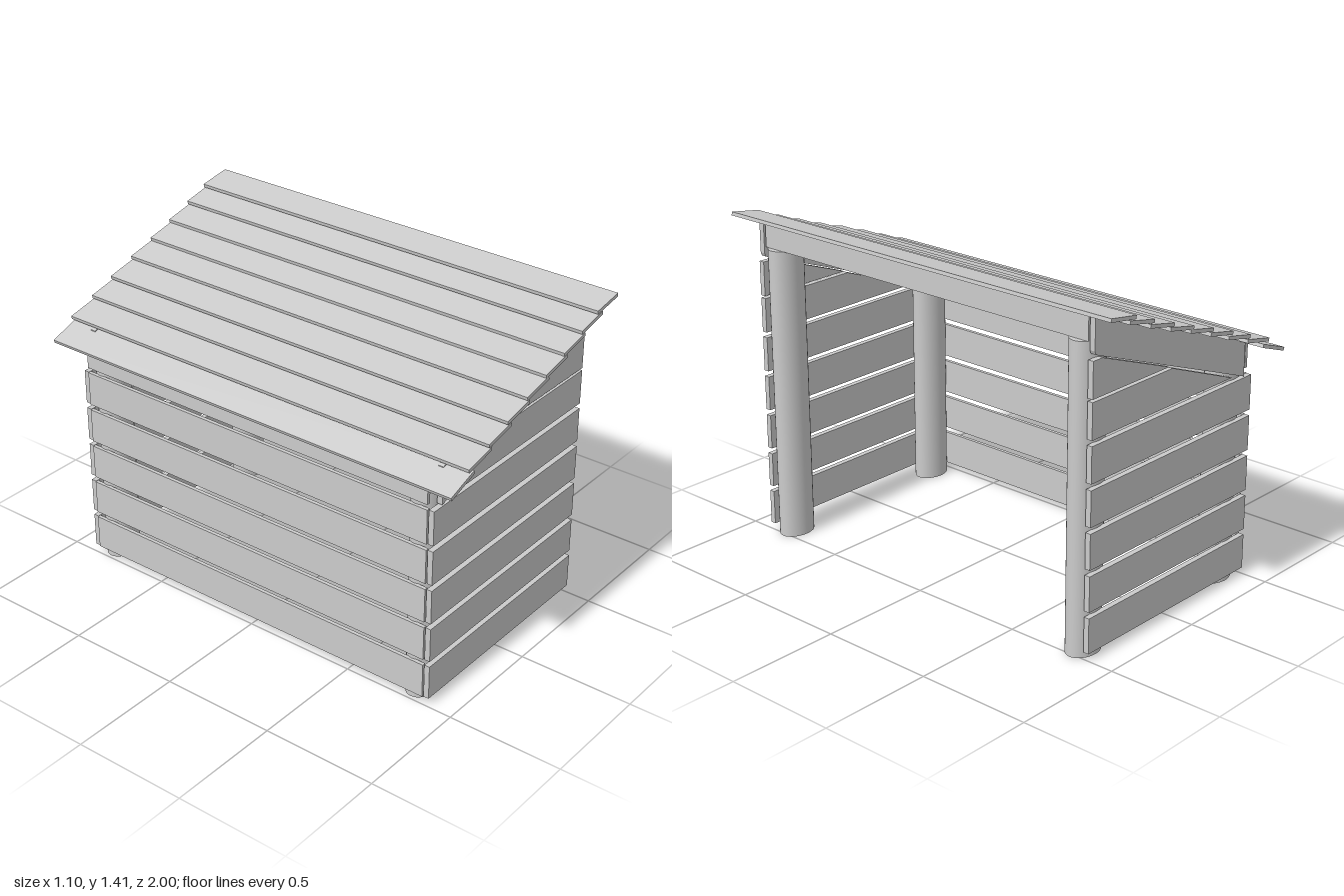
import * as THREE from 'three';

const material = new THREE.MeshStandardMaterial({ color: 0xcccccc });

export function createModel() {
  const root = new THREE.Group();
  root.name = 'woodShelter';

  const add = (name, geometry, x = 0, y = 0, z = 0) => {
    const mesh = new THREE.Mesh(geometry, material);
    mesh.name = name;
    mesh.position.set(x, y, z);
    root.add(mesh);
    return mesh;
  };

  // A flat x-y outline given thickness along z, centred on z
  const board = (name, points, depth, z = 0) => {
    const shape = new THREE.Shape(points.map(([x, y]) => new THREE.Vector2(x, y)));
    const geometry = new THREE.ExtrudeGeometry(shape, { depth, bevelEnabled: false });
    return add(name, geometry.translate(0, 0, -depth / 2), 0, 0, z);
  };
  const rect = (x0, x1, y0, y1) => [[x0, y0], [x1, y0], [x1, y1], [x0, y1]];

  // Corner posts: short at the closed back (-x), tall at the open side (+x)
  for (const [name, x, height] of [['backPost', -0.403, 0.957], ['openSidePost', 0.437, 1.28]]) {
    for (const z of [0.8, -0.808]) {
      const post = new THREE.CylinderGeometry(1, 1, height, 32);
      post.scale(0.0825, 1, 0.061);
      add(name, post, x, height / 2, z);
    }
  }

  // Beams resting on the post tops
  board('backBeam', [[-0.483, 0.957], [-0.33, 0.957], [-0.33, 1.063], [-0.43, 1.03], [-0.44, 0.99], [-0.483, 0.99]], 1.712);
  board('openSideBeam', rect(0.45, 0.494, 1.28, 1.385), 1.712);

  // Five full rows of slats on three walls
  const pitch = 0.1755;
  for (let i = 0; i < 5; i++) {
    const y = 0.032 + i * pitch;
    for (const z of [0.878, -0.876]) board('sideSlat', rect(-0.492, 0.503, y, y + 0.15), 0.024, z);
    board('backSlat', rect(-0.497, -0.481, y, y + 0.15), 1.724);
  }
  board('topBackSlat', rect(-0.497, -0.481, 0.907, 1.01), 1.724);

  // Upper side slats cut to the roof slope, and the sloping rafter boards
  for (const z of [0.878, -0.876]) {
    board('cutSideSlat', [[-0.36, 0.907], [0.503, 0.907], [0.503, 1.056], [0.03, 1.056]], 0.024, z);
    board('cutSideSlat', [[0.05, 1.067], [0.503, 1.067], [0.503, 1.215], [0.45, 1.215]], 0.024, z);
    board('rafterBoard', [[-0.441, 0.89], [0.488, 1.235], [0.495, 1.25], [0.495, 1.388], [-0.441, 1.053]], 0.024, z);
  }

  // Overlapping roof planks: upper left corner and rise of each
  const planks = [
    [-0.548, 1.012, 0.05], [-0.44, 1.08, 0.03], [-0.313, 1.127, 0.03],
    [-0.197, 1.172, 0.03], [-0.07, 1.218, 0.03], [0.054, 1.259, 0.03],
    [0.174, 1.302, 0.03], [0.294, 1.347, 0.03], [0.402, 1.39, 0.023],
  ];
  for (const [x, y, rise] of planks) {
    const run = 0.143, t = 0.015, length = Math.hypot(run, rise);
    const nx = (rise / length) * t, ny = (-run / length) * t;
    board('roofPlank', [[x, y], [x + nx, y + ny], [x + run + nx, y + rise + ny], [x + run, y + rise]], 2);
  }

  return root;
}
